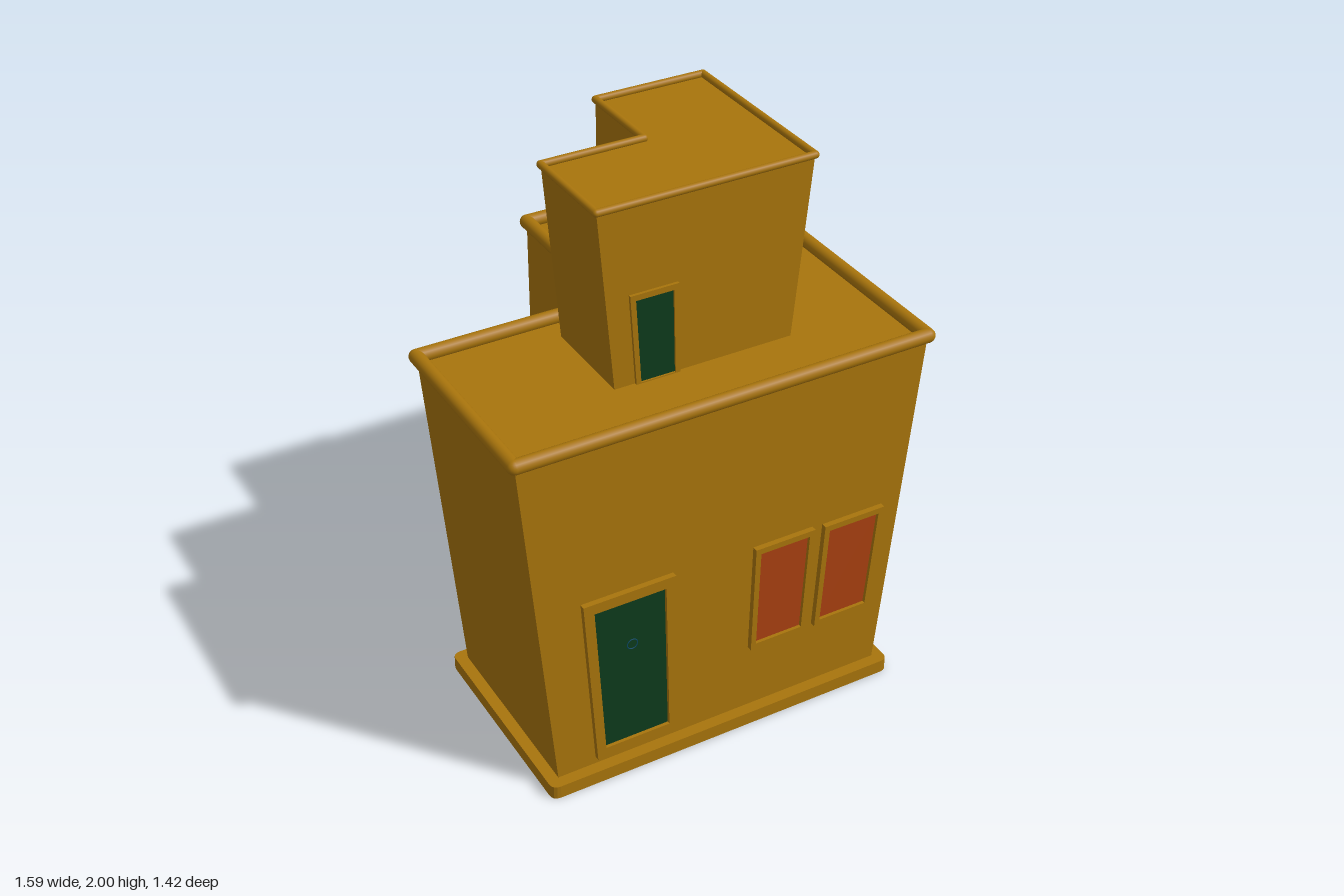
import * as THREE from 'three';

const OCHRE = 0xa8740c, GREEN = 0x0d3a1c, ORANGE = 0xa84010, BLUE = 0x0a4a68;
const mat = (color) => new THREE.MeshStandardMaterial({ color, side: THREE.DoubleSide });
const wallMat = mat(OCHRE), doorMat = mat(GREEN), paneMat = mat(ORANGE), knobMat = mat(BLUE);

// L-shaped plan at rim height: x, z, and the outward diagonal of each corner
const PLAN = [
  [-0.75, 0.65, -1, 1], [0.75, 0.65, 1, 1], [0.75, -0.665, 1, -1],
  [-0.04, -0.665, -1, -1], [-0.04, -0.045, -1, -1], [-0.75, -0.045, -1, -1],
];
const FOOT = 0.05, RIM_Y = 1.36, RIM_R = 0.025;

// The building widens in x with height
const flare = (y) => 0.84 + 0.16 * (y - FOOT) / (RIM_Y - FOOT);

function applyFlare(geo) {
  const p = geo.attributes.position;
  for (let i = 0; i < p.count; i++) p.setX(i, p.getX(i) * flare(p.getY(i)));
  geo.computeVertexNormals();
  return geo;
}

function add(group, name, geo, material) {
  const mesh = new THREE.Mesh(geo, material);
  mesh.name = name;
  group.add(mesh);
  return mesh;
}

// Plan outline scaled in x and offset outward, as shape points (x, -z)
const outline = (sx, d) => PLAN.map(([x, z, dx, dz]) => new THREE.Vector2(x * sx + dx * d, -(z + dz * d)));

function roundedOutline(points, r) {
  const shape = new THREE.Shape();
  points.forEach((p, i) => {
    const prev = points[(i + points.length - 1) % points.length], next = points[(i + 1) % points.length];
    const a = p.clone().add(prev.clone().sub(p).setLength(r));
    const b = p.clone().add(next.clone().sub(p).setLength(r));
    if (i === 0) shape.moveTo(a.x, a.y); else shape.lineTo(a.x, a.y);
    shape.quadraticCurveTo(p.x, p.y, b.x, b.y);
  });
  shape.closePath();
  return shape;
}

function wallGeometry(y0, y1) {
  const pos = [];
  PLAN.forEach(([ax, az], i) => {
    const [bx, bz] = PLAN[(i + 1) % PLAN.length];
    pos.push(ax, y0, az, bx, y0, bz, bx, y1, bz, ax, y0, az, bx, y1, bz, ax, y1, az);
  });
  const geo = new THREE.BufferGeometry();
  geo.setAttribute('position', new THREE.Float32BufferAttribute(pos, 3));
  return applyFlare(geo);
}

// Frame and recessed panel set through the front wall
function opening(group, name, x0, x1, y0, y1, border, material) {
  const rect = (Type, m) => new Type([
    new THREE.Vector2(x0 + m, y0 + m), new THREE.Vector2(x1 - m, y0 + m),
    new THREE.Vector2(x1 - m, y1 - m), new THREE.Vector2(x0 + m, y1 - m),
  ]);
  const frame = rect(THREE.Shape, 0);
  frame.holes.push(rect(THREE.Path, border));
  const frameGeo = new THREE.ExtrudeGeometry(frame, { depth: 0.04, bevelEnabled: false });
  add(group, name + 'Frame', applyFlare(frameGeo.translate(0, 0, 0.63)), wallMat);
  const panelGeo = new THREE.ExtrudeGeometry(rect(THREE.Shape, border), { depth: 0.016, bevelEnabled: false });
  add(group, name + 'Panel', applyFlare(panelGeo.translate(0, 0, 0.642)), material);
}

// Walls, roof, rim and door shared by both storeys
function storey(name, wallFoot) {
  const g = new THREE.Group();
  g.name = name;
  add(g, 'walls', wallGeometry(wallFoot, RIM_Y), wallMat);

  const roof = new THREE.ShapeGeometry(new THREE.Shape(outline(0.998, 0)));
  add(g, 'roof', roof.rotateX(-Math.PI / 2).translate(0, 1.345, 0), wallMat);

  // Round rim: one bar per edge with a ball at each corner
  const rim = new THREE.Group();
  rim.name = 'roofRim';
  g.add(rim);
  PLAN.forEach(([ax, az], i) => {
    const [bx, bz] = PLAN[(i + 1) % PLAN.length];
    const a = new THREE.Vector3(ax, RIM_Y, az), b = new THREE.Vector3(bx, RIM_Y, bz);
    const bar = add(rim, 'rimBar', new THREE.CylinderGeometry(RIM_R, RIM_R, a.distanceTo(b), 16, 1, true), wallMat);
    bar.position.lerpVectors(a, b, 0.5);
    bar.quaternion.setFromUnitVectors(new THREE.Vector3(0, 1, 0), b.clone().sub(a).normalize());
    add(rim, 'rimCorner', new THREE.SphereGeometry(RIM_R, 16, 12), wallMat).position.copy(a);
  });

  opening(g, 'door', -0.58, -0.214, 0.08, 0.75, 0.04, doorMat);
  return g;
}

export function createModel() {
  const model = new THREE.Group();
  model.name = 'building';

  const lower = storey('lowerStorey', 0.01);
  model.add(lower);

  // Ledge around the foot, open in the middle
  const ledge = roundedOutline(outline(0.84, 0.042), 0.03);
  ledge.holes.push(new THREE.Path(outline(0.84, -0.012)));
  const ledgeGeo = new THREE.ExtrudeGeometry(ledge, { depth: FOOT, bevelEnabled: false, curveSegments: 4 });
  add(lower, 'baseLedge', ledgeGeo.rotateX(-Math.PI / 2), wallMat);

  opening(lower, 'leftWindow', 0.41, 0.668, 0.31, 0.73, 0.022, paneMat);
  opening(lower, 'rightWindow', 0.116, 0.367, 0.31, 0.735, 0.022, paneMat);

  // Small ring on the lower door
  add(lower, 'doorRing', new THREE.TorusGeometry(0.019, 0.002, 6, 24), knobMat).position.set(-0.353, 0.52, 0.658);

  // Upper storey repeats the lower one at about half size
  const upper = storey('upperStorey', 0.1);
  upper.scale.setScalar(0.515);
  upper.position.set(0.047, 1.287, 0.078);
  model.add(upper);

  // The whole plan sits slightly turned
  model.rotation.y = -0.033;
  return model;
}
